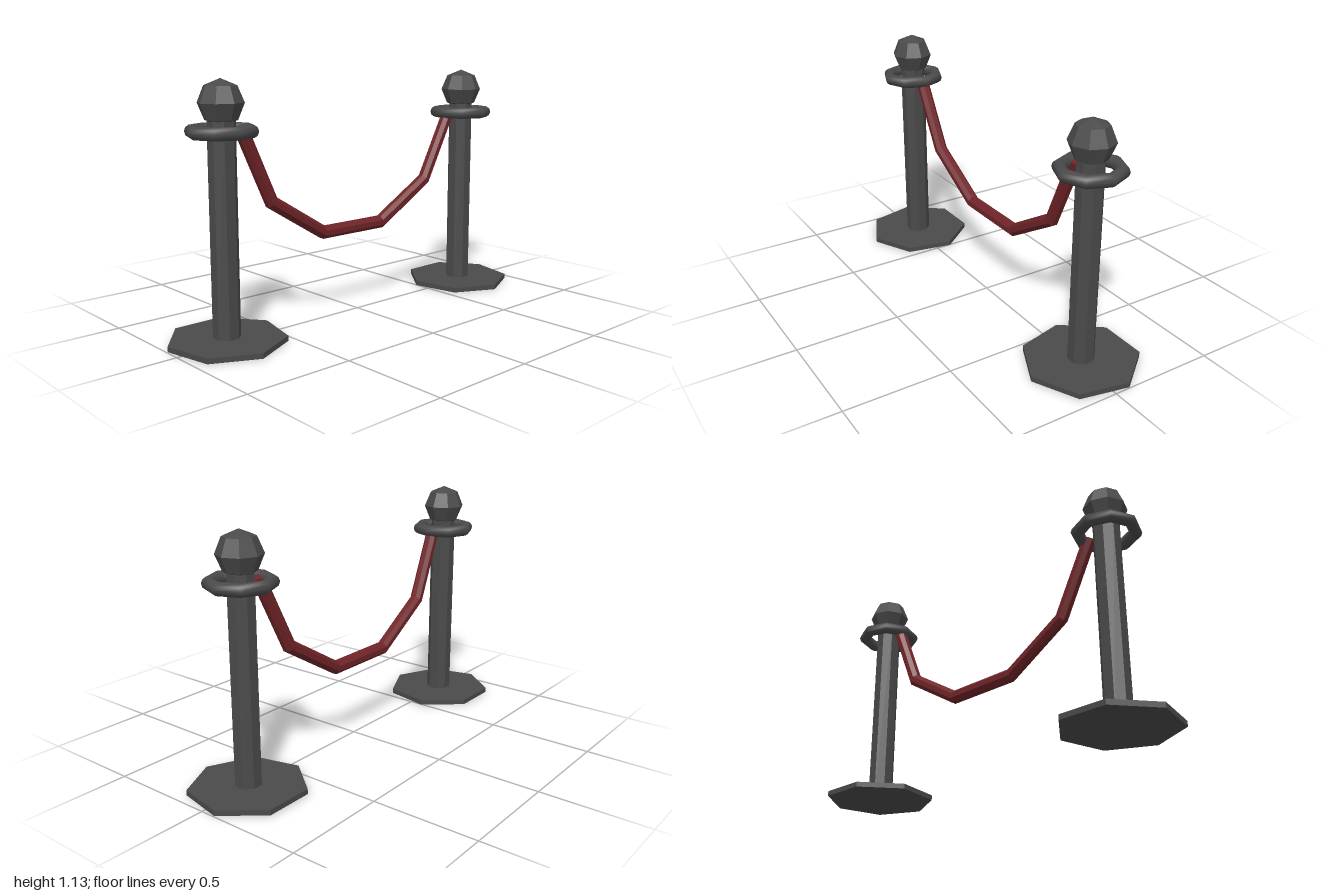
import * as THREE from 'three';

const metal = new THREE.MeshStandardMaterial({ color: 0x4a4a4a, flatShading: true });
const ringMetal = new THREE.MeshStandardMaterial({ color: 0x4a4a4a });
const velvet = new THREE.MeshStandardMaterial({ color: 0x702428, flatShading: true });

function addPart(group, name, geometry, material, y) {
  const mesh = new THREE.Mesh(geometry, material);
  mesh.name = name;
  mesh.position.y = y;
  group.add(mesh);
  return mesh;
}

// One stanchion: seven-sided foot, octagonal post, rope ring and faceted ball
function createStanchion() {
  const group = new THREE.Group();
  const foot = addPart(group, 'base',
    new THREE.CylinderGeometry(0.262, 0.262, 0.024, 7).rotateY(Math.PI / 2), metal, 0.0155);
  foot.rotation.z = -0.012; // the foot sits slightly tilted
  addPart(group, 'post',
    new THREE.CylinderGeometry(0.061, 0.061, 0.95, 8).rotateY(Math.PI / 8), metal, 0.49);
  addPart(group, 'ropeRing',
    new THREE.TorusGeometry(0.128, 0.0285, 10, 8).rotateX(Math.PI / 2), ringMetal, 0.912);
  addPart(group, 'ballFinial', new THREE.SphereGeometry(0.1, 8, 4), metal, 1.03);
  return group;
}

// Sagging rope: a cylinder whose rows are moved onto mitred stations of a path
function createRopeGeometry() {
  const path = [
    [-0.013, 0.92, 0.65], [-0.027, 0.58, 0.485], [-0.035, 0.398, 0.183],
    [-0.035, 0.398, -0.183], [-0.027, 0.58, -0.485], [-0.013, 0.92, -0.65],
  ].map(p => new THREE.Vector3(...p));
  const last = path.length - 1;
  const radius = 0.031;
  const geometry = new THREE.CylinderGeometry(radius, radius, 1, 8, last);
  geometry.rotateY(Math.PI / 8);
  const pos = geometry.attributes.position;

  const direction = i => {
    const k = THREE.MathUtils.clamp(i, 0, last - 1);
    const d = path[k].clone().sub(path[k + 1]);
    d.x = 0;
    return d.normalize();
  };
  for (let i = 0; i < pos.count; i++) {
    const k = Math.round((0.5 - pos.getY(i)) * last);
    const before = direction(k - 1);
    const axis = before.clone().add(direction(k)).normalize();
    const widen = 1 / axis.dot(before);
    const z = pos.getZ(i) * widen;
    pos.setXYZ(i, path[k].x + pos.getX(i), path[k].y - axis.z * z, path[k].z + axis.y * z);
  }
  geometry.computeVertexNormals();
  return geometry;
}

export function createModel() {
  const model = new THREE.Group();
  model.name = 'ropeBarrier';
  for (const side of [1, -1]) {
    const stanchion = createStanchion();
    stanchion.name = side > 0 ? 'frontStanchion' : 'backStanchion';
    stanchion.position.set(-0.013, 0, side * 0.744);
    model.add(stanchion);
  }
  addPart(model, 'rope', createRopeGeometry(), velvet, 0);
  return model;
}
